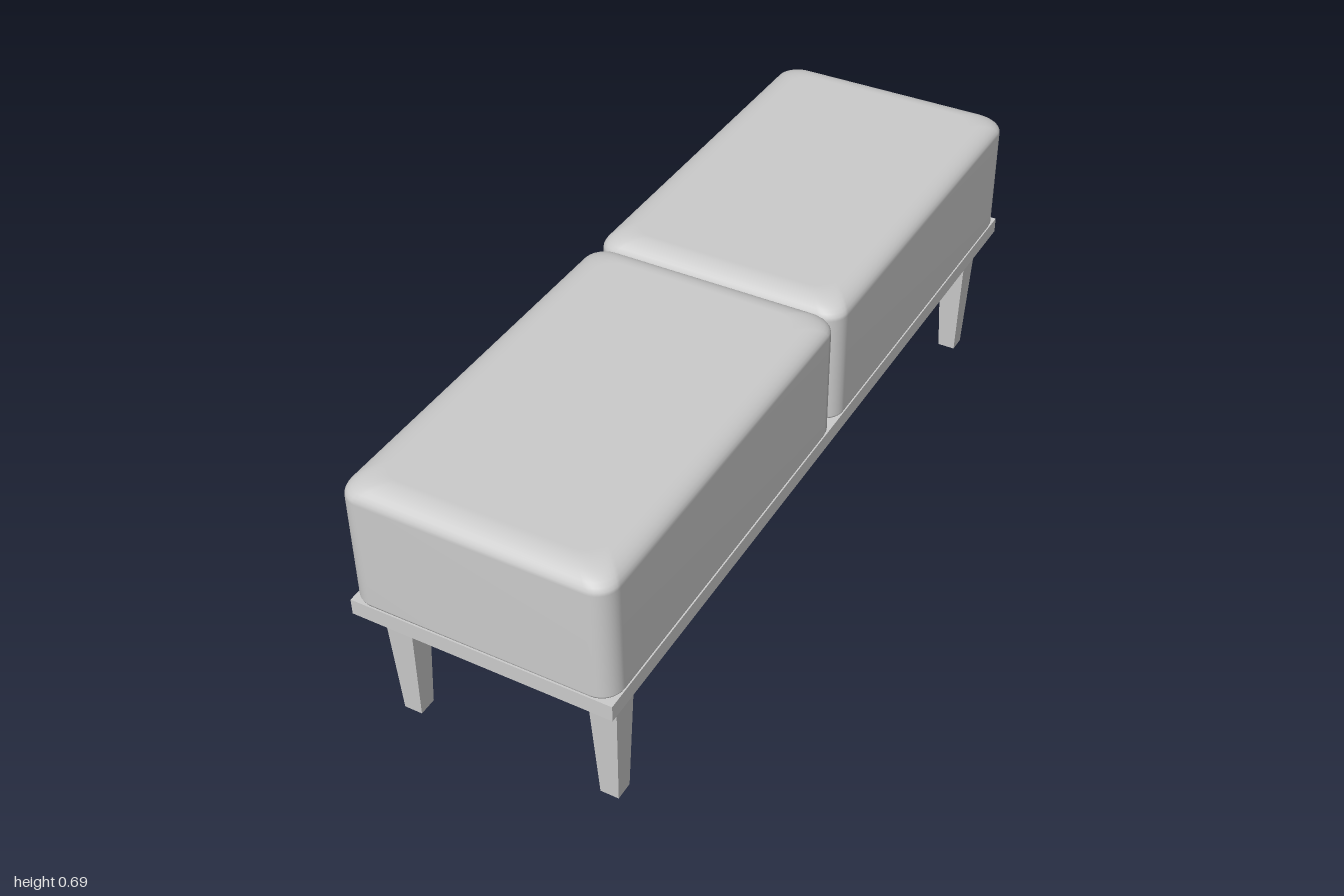
import * as THREE from 'three';

const WIDTH = 0.632, LENGTH = 2, BASE_Y = 0.33, SEAT_Y = 0.37, TOP_Y = 0.69;
const material = new THREE.MeshStandardMaterial({ color: 0xcccccc });

// Outline of a rounded rectangle in the xz plane
function roundedRect(w, l, r, steps = 8) {
  const points = [];
  const corners = [[1, 1], [1, -1], [-1, -1], [-1, 1]];
  corners.forEach(([sx, sz], q) => {
    for (let i = 0; i <= steps; i++) {
      const a = Math.PI / 2 - (q + i / steps) * Math.PI / 2;
      points.push([sx * (w / 2 - r) + r * Math.cos(a), sz * (l / 2 - r) + r * Math.sin(a)]);
    }
  });
  return points;
}

// Soft block: stacked rounded rectangles, pulled in towards the top and bottom
function cushionGeometry(w, l) {
  const h = TOP_Y - SEAT_Y, softX = 0.065, softY = 0.04;
  const sections = [[0.02, 0], [0.006, 0], [0.002, 0.003], [0, 0.009]]; // [inset, height]
  for (let i = 0; i <= 8; i++) {
    const a = (i / 8) * Math.PI / 2;
    sections.push([softX * (1 - Math.cos(a)), h - softY * (1 - Math.sin(a))]);
  }
  const positions = [], indices = [];
  let n = 0;
  for (const [inset, y] of sections) {
    const ring = roundedRect(w - 2 * inset, l - 2 * inset, 0.05);
    n = ring.length;
    for (const [x, z] of ring) positions.push(x, y, z);
  }
  const last = (sections.length - 1) * n;
  const bottom = sections.length * n, top = bottom + 1;
  positions.push(0, 0, 0, 0, h, 0);
  for (let j = 0; j < n; j++) {
    const k = (j + 1) % n;
    for (let s = 0; s < last; s += n) {
      indices.push(s + j, s + k, s + n + j, s + k, s + n + k, s + n + j);
    }
    indices.push(bottom, k, j, top, last + j, last + k);
  }
  const geometry = new THREE.BufferGeometry();
  geometry.setAttribute('position', new THREE.Float32BufferAttribute(positions, 3));
  geometry.setIndex(indices);
  geometry.computeVertexNormals();
  return geometry;
}

// Square leg narrowing towards the floor
function legGeometry(topSize, footSize, height) {
  const geometry = new THREE.BoxGeometry(topSize, height, topSize);
  const p = geometry.attributes.position;
  for (let i = 0; i < p.count; i++) {
    if (p.getY(i) < 0) {
      p.setX(i, p.getX(i) * footSize / topSize);
      p.setZ(i, p.getZ(i) * footSize / topSize);
    }
  }
  geometry.computeVertexNormals();
  return geometry.translate(0, height / 2, 0);
}

export function createModel() {
  const bench = new THREE.Group();
  bench.name = 'bench';
  const add = (name, geometry, x, y, z) => {
    const mesh = new THREE.Mesh(geometry, material);
    mesh.name = name;
    mesh.position.set(x, y, z);
    bench.add(mesh);
  };

  // Thin board under the seat
  const thickness = SEAT_Y - BASE_Y;
  add('baseBoard', new THREE.BoxGeometry(WIDTH, thickness, LENGTH), 0, BASE_Y + thickness / 2, 0);

  // Two cushions end to end, and four legs
  const cushion = cushionGeometry(WIDTH, LENGTH / 2);
  const leg = legGeometry(0.072, 0.045, BASE_Y);
  for (const [end, sz] of [['front', 1], ['back', -1]]) {
    add(end + 'Cushion', cushion, 0, SEAT_Y, sz * LENGTH / 4);
    for (const [side, sx] of [['Left', 1], ['Right', -1]]) {
      add(end + side + 'Leg', leg, sx * 0.252, 0, sz * 0.904);
    }
  }
  return bench;
}
